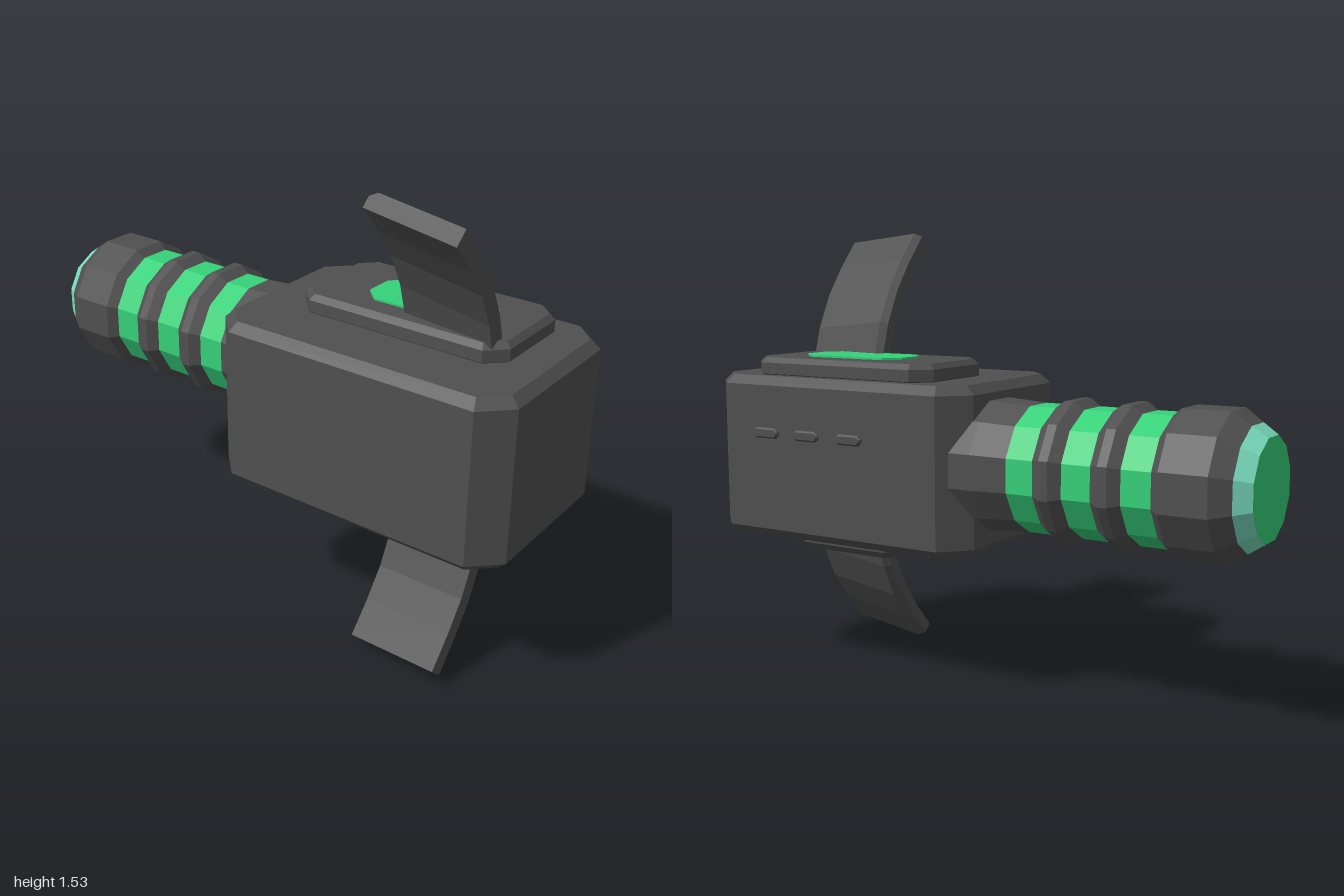
import * as THREE from 'three';

const mat = (name, color) => {
  const m = new THREE.MeshStandardMaterial({ color });
  m.name = name;
  return m;
};

// Skin a stack of closed rings (arrays of [x, y, z]) running upward, with end caps and flat faces
function loft(rings) {
  const pos = [], n = rings[0].length;
  const tri = (a, b, c) => pos.push(...a, ...b, ...c);
  for (let r = 0; r < rings.length - 1; r++) {
    const p = rings[r], q = rings[r + 1];
    for (let i = 0; i < n; i++) {
      const j = (i + 1) % n;
      tri(p[i], p[j], q[j]);
      tri(p[i], q[j], q[i]);
    }
  }
  const bottom = rings[0], top = rings[rings.length - 1];
  for (let i = 1; i < n - 1; i++) {
    tri(bottom[0], bottom[i + 1], bottom[i]);
    tri(top[0], top[i], top[i + 1]);
  }
  const g = new THREE.BufferGeometry();
  g.setAttribute('position', new THREE.Float32BufferAttribute(pos, 3));
  g.computeVertexNormals();
  return g;
}

// Box with cut vertical corners (c) and bevelled top and bottom edges (b)
function chamferBox(x0, x1, y0, y1, z0, z1, c, b) {
  const ring = (y, inset) => {
    const l = x0 + inset, r = x1 - inset, k = z0 + inset, f = z1 - inset, d = c - inset * 0.586;
    return [[l + d, y, f], [r - d, y, f], [r, y, f - d], [r, y, k + d],
      [r - d, y, k], [l + d, y, k], [l, y, k + d], [l, y, f - d]];
  };
  return loft(b ? [ring(y0, b), ring(y0 + b, 0), ring(y1 - b, 0), ring(y1, b)] : [ring(y0, 0), ring(y1, 0)]);
}

// Twelve-sided turned part along -z; profile is [radius, distance behind the origin]
function turned(profile) {
  const pts = profile.map(([r, d]) => new THREE.Vector2(r, d));
  const lathe = new THREE.LatheGeometry(pts, 12, Math.PI / 12);
  lathe.deleteAttribute('normal');
  const g = lathe.toNonIndexed().rotateX(-Math.PI / 2);
  g.computeVertexNormals();
  return g;
}

// Curved, slightly skewed blade; mirrored below the body when flip is true
function fin(flip) {
  const edge = [[0.012, 1.04], [0.003, 1.1], [-0.035, 1.225], [-0.095, 1.345], [-0.17, 1.445], [-0.255, 1.54]];
  const t = 0.06, skew = [-0.038, -0.034];
  const rings = edge.map(([x, y], i) => {
    const a = edge[Math.max(i - 1, 0)], b = edge[Math.min(i + 1, edge.length - 1)];
    const len = Math.hypot(b[0] - a[0], b[1] - a[1]);
    const nx = -(b[1] - a[1]) / len, ny = (b[0] - a[0]) / len;
    const point = (depth, s, z) => {
      const py = y + ny * depth + skew[1] * s;
      return [x + nx * depth + skew[0] * s, flip ? 1.545 - py : py, z];
    };
    return [point(t, 1, 0.82), point(0, 1, 0.82), point(0, 0.08, 0.515), point(0.02, 0, 0.49), point(t, 0, 0.49)];
  });
  return loft(flip ? rings.reverse() : rings);
}

export function createModel() {
  const model = new THREE.Group();
  model.name = 'model';
  const grey = mat('dark grey', 0x505050);
  const green = mat('green', 0x36d27a);
  const teal = mat('pale teal', 0x78dcbc);
  const add = (name, geometry, material, parent = model) => {
    const m = new THREE.Mesh(geometry, material);
    m.name = name;
    parent.add(m);
    return m;
  };

  // Main block with raised plates above and below
  add('body', chamferBox(-0.35, 0.335, 0.48, 1.045, -0.06, 1, 0.09, 0.03), grey);
  add('topPlate', chamferBox(-0.125, 0.27, 1.03, 1.105, 0.115, 0.86, 0.06, 0.018), grey);
  add('topLight', chamferBox(-0.035, 0.165, 1.104, 1.112, 0.31, 0.72, 0.05, 0), green);
  add('bottomPlate', chamferBox(-0.135, 0.17, 0.41, 0.5, 0.285, 0.79, 0.08, 0.025), grey);

  // Curved fins
  add('topFin', fin(false), grey);
  add('bottomFin', fin(true), grey);

  // Row of side buttons
  for (const z of [0.73, 0.555, 0.375]) {
    const button = add('sideButton', chamferBox(-0.018, 0.018, -0.01, 0.014, -0.053, 0.053, 0.012, 0.006), grey);
    button.rotation.z = -Math.PI / 2;
    button.position.set(0.333, 0.85, z);
  }

  // Ribbed handle leaving the back of the block
  const handle = new THREE.Group();
  handle.name = 'handle';
  handle.position.set(0.09, 0.775, 0);
  model.add(handle);
  add('neck', turned([[0.222, -0.04], [0.222, 0.08], [0.213, 0.21]]), grey, handle);
  for (const [a, b] of [[0.21, 0.305], [0.405, 0.505], [0.605, 0.705]]) {
    add('lightBand', turned([[0.213, a], [0.213, b]]), green, handle);
  }
  for (const a of [0.303, 0.503]) {
    add('gripRing', turned([[0.212, a], [0.238, a + 0.036], [0.238, a + 0.068], [0.212, a + 0.104]]), grey, handle);
  }
  add('endCap', turned([[0.212, 0.703], [0.239, 0.735], [0.239, 0.89], [0.198, 0.95]]), grey, handle);
  add('endRim', turned([[0.198, 0.95], [0.164, 1]]), teal, handle);
  add('endLight', turned([[0.164, 1], [0, 1]]), green, handle);
  return model;
}
